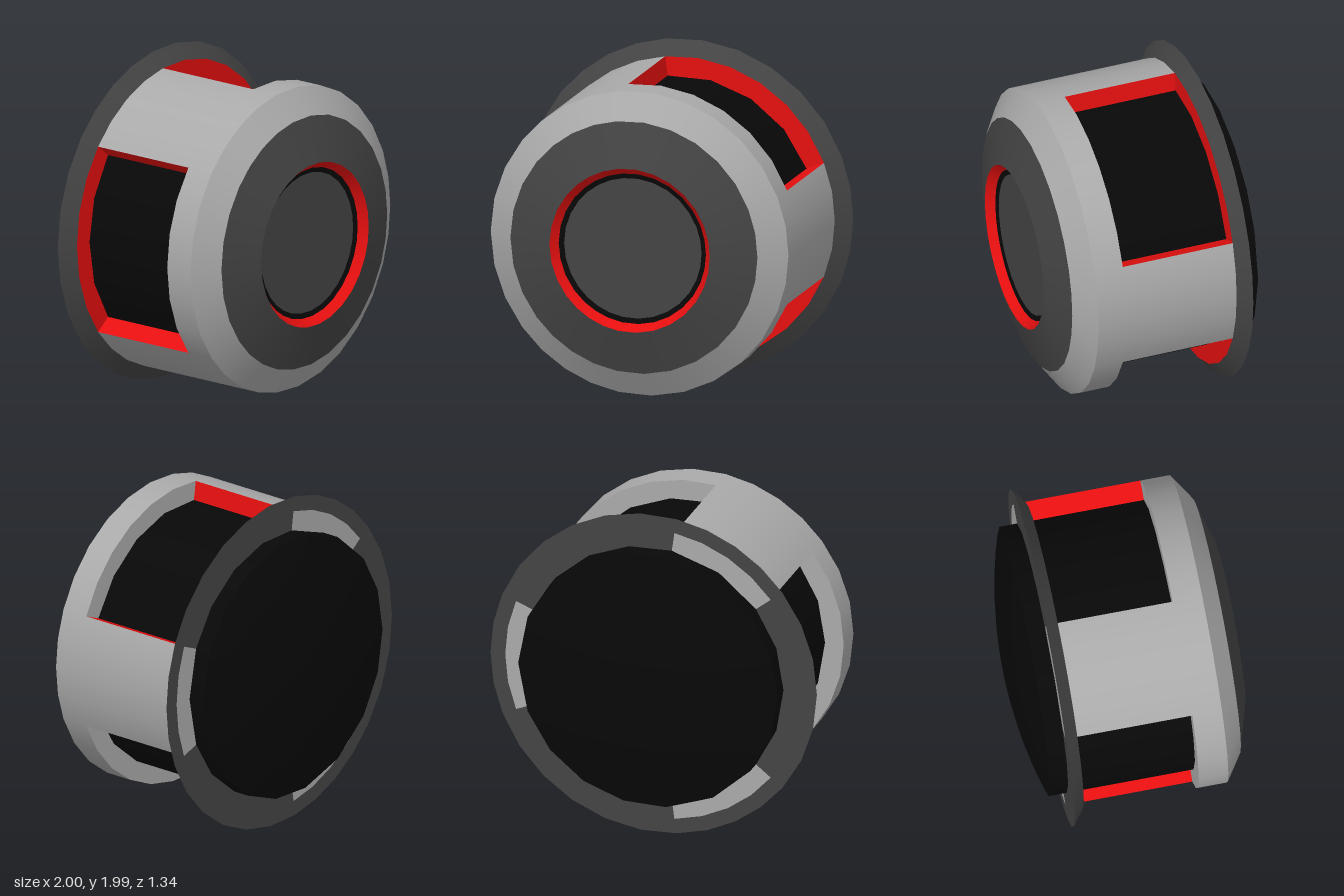
import * as THREE from 'three';

const DEG = Math.PI / 180;
const HALF = 22; // half width of a pillar, degrees
const mat = (color) => new THREE.MeshStandardMaterial({ color });

// Angles from a to b in n steps
const steps = (a, b, n) => Array.from({ length: n + 1 }, (_, i) => (a + ((b - a) * i) / n) * DEG);

// Full turn whose corners line up with the pillar edges
function turn(perPillar, perWindow) {
  const list = [];
  for (const c of [0, 120, 240]) {
    list.push(...steps(c - HALF, c + HALF, perPillar).slice(0, -1));
    list.push(...steps(c + HALF, c + 120 - HALF, perWindow).slice(0, -1));
  }
  return [...list, list[0] + 2 * Math.PI];
}

// Sweeps a [radius, z] profile around the z axis; edges between bands stay sharp unless smooth
function sweep(profile, angles, smooth = false) {
  const pos = [], nor = [], idx = [];
  const bandNormal = (i) => {
    const [a, b] = [profile[i], profile[i + 1]];
    return new THREE.Vector2(a[1] - b[1], b[0] - a[0]).normalize();
  };
  const last = profile.length - 2;
  for (let i = 0; i <= last; i++) {
    const n = bandNormal(i), n0 = n.clone(), n1 = n.clone();
    if (smooth && i > 0) n0.add(bandNormal(i - 1)).normalize();
    if (smooth && i < last) n1.add(bandNormal(i + 1)).normalize();
    const base = pos.length / 3;
    angles.forEach((t, k) => {
      const c = Math.cos(t), s = Math.sin(t);
      [[profile[i], n0], [profile[i + 1], n1]].forEach(([[r, z], m]) => {
        pos.push(r * c, r * s, z);
        nor.push(m.x * c, m.x * s, m.y);
      });
      if (k < angles.length - 1) {
        const a = base + 2 * k;
        idx.push(a, a + 1, a + 2, a + 2, a + 1, a + 3);
      }
    });
  }
  const geo = new THREE.BufferGeometry();
  geo.setAttribute('position', new THREE.Float32BufferAttribute(pos, 3));
  geo.setAttribute('normal', new THREE.Float32BufferAttribute(nor, 3));
  geo.setIndex(idx);
  return geo;
}

export function createModel() {
  const grey = mat(0xaaaaaa), dark = mat(0x444444), black = mat(0x080808), red = mat(0xe60f0f);
  const model = new THREE.Group();
  const body = new THREE.Group();
  body.name = 'body';
  body.position.y = 1;
  model.add(body);
  const add = (name, geo, material) => {
    const mesh = new THREE.Mesh(geo, material);
    mesh.name = name;
    body.add(mesh);
  };

  const fine = turn(4, 6), coarse = turn(2, 4);
  const R = 0.91, INNER = 0.78, RING = 0.31, LIP = -0.37, BACK = -0.44;

  // Front housing, from the bevel round to the window wall
  add('frontBevel', sweep([[0.755, 0.59], [R, 0.485]], fine), grey);
  add('frontRing', sweep([[R, 0.485], [R, RING], [INNER, RING]], fine), grey);
  add('frontFace', sweep([[0.49, 0.67], [0.755, 0.59]], fine), dark);
  add('openingRim', sweep([[0.45, 0.62], [0.49, 0.67]], fine), red);

  // Recessed front disc and its seat
  add('discSeat', sweep([[0.42, 0.61], [0.46, 0.62]], fine), black);
  add('frontDisc', sweep([[0, 0.61], [0.42, 0.61]], fine), dark);

  // Inner drum with a domed back
  const rim = 0.795, rise = 0.125, domeR = (rim * rim + rise * rise) / (2 * rise);
  const dome = [];
  for (let i = 0; i <= 8; i++) {
    const r = rim * (1 - i / 8);
    dome.push([r, -0.67 + domeR - Math.sqrt(domeR * domeR - r * r)]);
  }
  add('drum', sweep([[0.45, 0.6], [rim, 0.48], [rim, -0.545]], coarse), black);
  add('dome', sweep(dome, coarse, true), black);

  // Back flange
  add('flangeLip', sweep([[R, LIP], [1, BACK], [R, BACK]], fine), dark);

  for (const c of [0, 120, 240]) {
    // Pillar with its end showing through the flange
    const pillar = steps(c - HALF, c + HALF, 4);
    add('pillar', sweep([[R, RING], [R, BACK], [INNER, BACK]], pillar), grey);

    // Red pillar sides
    for (const side of [-1, 1]) {
      const geo = new THREE.PlaneGeometry(R - INNER, RING - BACK);
      geo.rotateX((-side * Math.PI) / 2);
      geo.translate((R + INNER) / 2, 0, (RING + BACK) / 2);
      geo.rotateZ((c + side * HALF) * DEG);
      add('pillarSide', geo, red);
    }

    // Flange across the window: red inside, dark behind
    const window = steps(c + HALF, c + 120 - HALF, 6);
    add('windowBack', sweep([[INNER, LIP], [R, LIP]], window), red);
    add('flangeBack', sweep([[R, BACK], [INNER, BACK]], window), dark);
  }
  return model;
}
